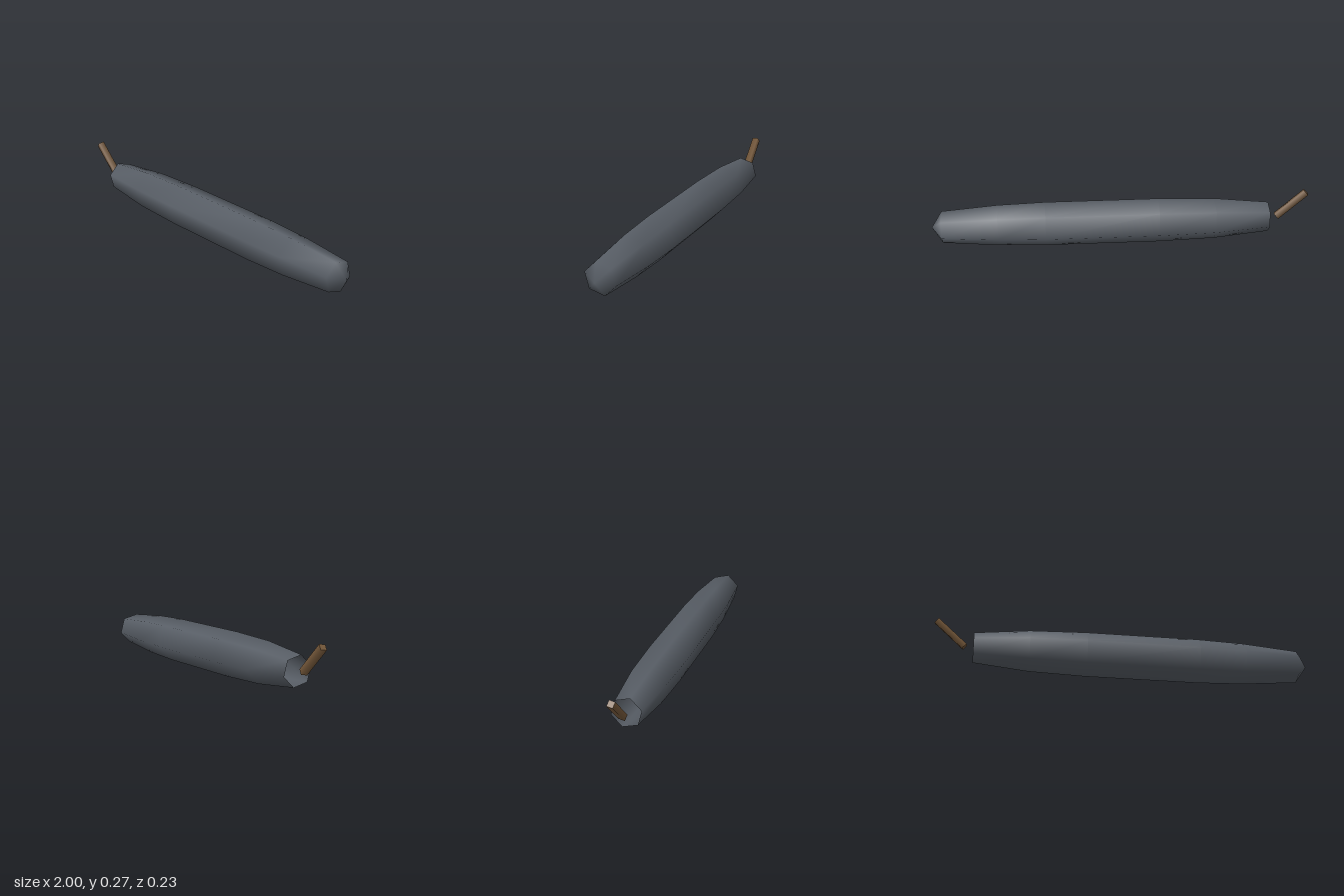
import * as THREE from 'three';

const charcoal = new THREE.MeshStandardMaterial({ color: 0x585e66, side: THREE.DoubleSide });
charcoal.name = 'charcoal grey';
const wood = new THREE.MeshStandardMaterial({ color: 0x75583a });
wood.name = 'brown wood';

// Six-sided smooth shell along x, open at the first ring and closed to a point at the tip
function hexShell(profile, tipX, centreY, turn) {
  const sides = 6, positions = [], index = [];
  for (const [x, r] of profile) {
    for (let j = 0; j < sides; j++) {
      const a = turn + (j / sides) * Math.PI * 2;
      positions.push(x, centreY + r * Math.sin(a), r * Math.cos(a));
    }
  }
  const tip = profile.length * sides;
  positions.push(tipX, centreY, 0);
  for (let i = 0; i < profile.length; i++) {
    for (let j = 0; j < sides; j++) {
      const a = i * sides + j, b = i * sides + ((j + 1) % sides);
      if (i === profile.length - 1) index.push(a, tip, b);
      else index.push(a, a + sides, b + sides, a, b + sides, b);
    }
  }
  const geometry = new THREE.BufferGeometry();
  geometry.setAttribute('position', new THREE.Float32BufferAttribute(positions, 3));
  geometry.setIndex(index);
  geometry.computeVertexNormals();
  return geometry;
}

export function createModel() {
  const model = new THREE.Group();
  model.name = 'rolledStick';

  // Tapered body: [x, radius] rings from the open end to the shoulder of the tip
  const rings = [[-0.79, 0.08], [-0.5, 0.109], [-0.2, 0.118], [0.4, 0.118], [0.65, 0.11], [0.945, 0.086]];
  const body = new THREE.Mesh(hexShell(rings, 1, 0.116, Math.PI / 12), charcoal);
  body.name = 'body';
  model.add(body);

  // Slanted square stem beside the open end
  const top = new THREE.Vector2(-0.986, 0.257), foot = new THREE.Vector2(-0.835, 0.118);
  const axis = top.clone().sub(foot);
  const stem = new THREE.Mesh(
    new THREE.CylinderGeometry(0.0228, 0.0228, axis.length(), 4, 1, false, 0.59), wood);
  stem.name = 'stem';
  stem.position.set((top.x + foot.x) / 2, (top.y + foot.y) / 2, 0.001);
  stem.rotation.z = Math.atan2(-axis.x, axis.y);
  model.add(stem);

  return model;
}
